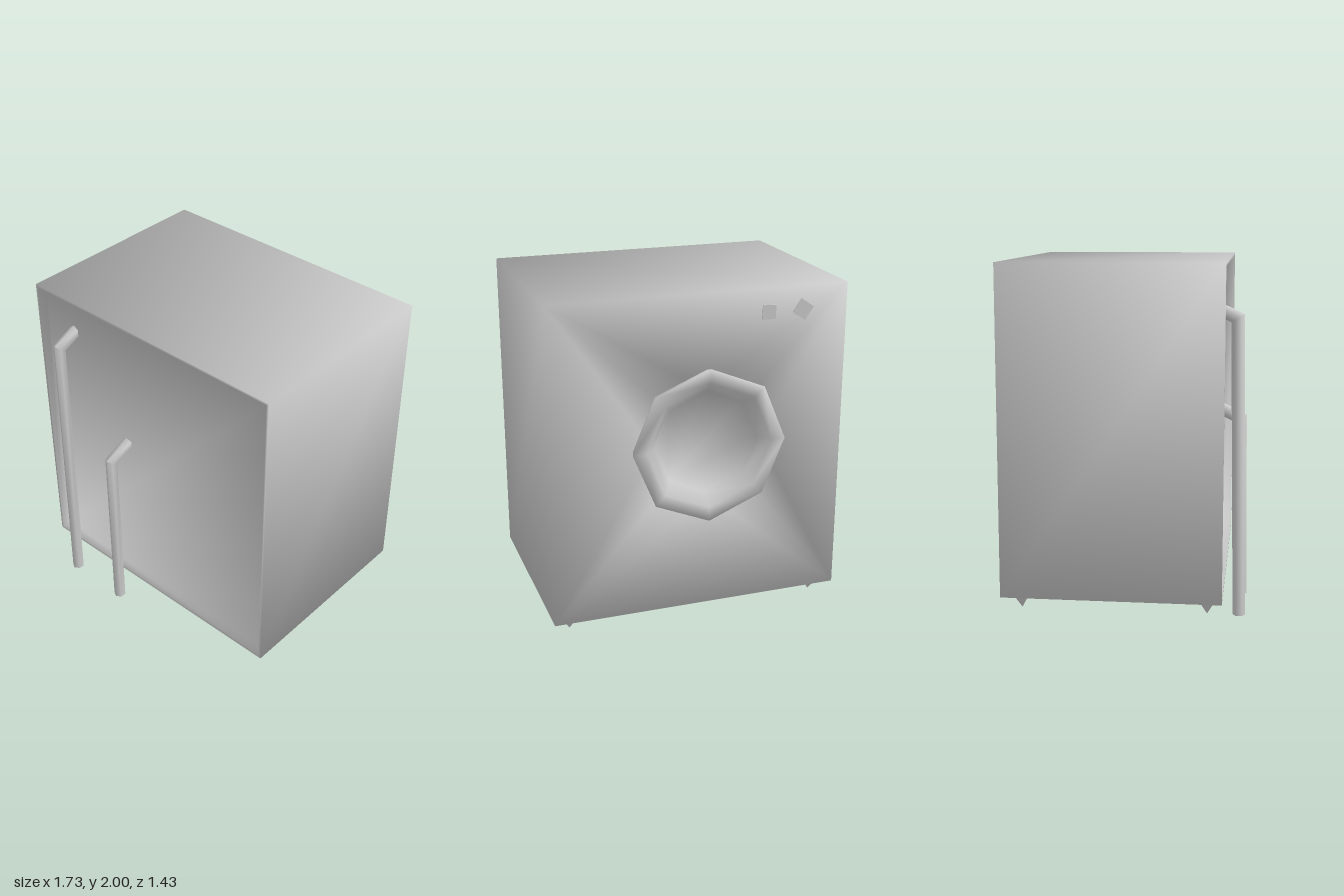
import * as THREE from 'three';
import { toCreasedNormals } from 'three/addons/utils/BufferGeometryUtils.js';

const material = new THREE.MeshStandardMaterial({ color: 0xcccccc });
const W = 0.867, H = 0.932, MID_Y = 1.063, BACK = -0.65, PANEL = 0.53, FRONT = 0.59;
const RING_X = -0.037, RING_Y = 1.133;

function part(name, geometry, x = 0, y = 0, z = 0) {
  const mesh = new THREE.Mesh(geometry, material);
  mesh.name = name;
  mesh.position.set(x, y, z);
  return mesh;
}

// One softly shaded skin: round recess, back, sides, front rim and sunken panel
function bodyGeometry() {
  const positions = [], normals = [], index = [];
  const add = (p, n) => {
    positions.push(...p);
    normals.push(...new THREE.Vector3(...n).normalize().toArray());
    return positions.length / 3 - 1;
  };
  // Loops run counter-clockwise seen from the front; tilt > 0 leans normals outward
  const octagon = (r, z, tilt) => Array.from({ length: 8 }, (_, k) => {
    const c = Math.cos(k * Math.PI / 4), s = Math.sin(k * Math.PI / 4);
    return add([RING_X + r * c, RING_Y + r * s, z], [tilt * c, tilt * s, -1]);
  });
  const rectangle = (inset, z, tilt, nz) => [[1, 1], [-1, 1], [-1, -1], [1, -1]].map(([sx, sy]) =>
    add([sx * (W - inset), MID_Y + sy * (H - inset), z], [tilt * sx, tilt * sy, nz]));
  const bridge = (a, b) => a.forEach((_, i) => {
    const j = (i + 1) % a.length;
    index.push(a[i], a[j], b[i], a[j], b[j], b[i]);
  });
  const cap = (loop) => {
    for (let i = 1; i < loop.length - 1; i++) index.push(loop[0], loop[i], loop[i + 1]);
  };

  const floor = octagon(0.31, BACK + 0.04, -1.2);
  const hole = octagon(0.31, BACK, -0.9);
  const back = rectangle(0, BACK, 1, -0.85);
  const front = rectangle(0, FRONT, 1, 1);
  const rim = rectangle(0.016, FRONT, -0.4, 1);
  const panel = rectangle(0.016, PANEL, -1, 1);

  cap([...floor].reverse());
  bridge(floor, hole);
  // Back wall: every corner fans out to its quarter of the round hole
  back.forEach((corner, c) => {
    const [a, b, d] = [0, 1, 2].map((k) => hole[(2 * c + k) % 8]);
    index.push(a, b, corner, b, d, corner, d, back[(c + 1) % 4], corner);
  });
  bridge(back, front);
  bridge(front, rim);
  bridge(rim, panel);
  cap(panel);

  const geometry = new THREE.BufferGeometry();
  geometry.setAttribute('position', new THREE.Float32BufferAttribute(positions, 3));
  geometry.setAttribute('normal', new THREE.Float32BufferAttribute(normals, 3));
  geometry.setIndex(index);
  return geometry;
}

// Six-sided pipe through bottom, elbow and end points, mitred at the elbow
function pipe(name, bottom, elbow, end) {
  const geometry = new THREE.CylinderGeometry(0.036, 0.036, 1, 6, 2);
  const dir = new THREE.Vector2(end[2] - elbow[2], end[1] - elbow[1]).normalize();
  const pos = geometry.attributes.position;
  for (let i = 0; i < pos.count; i++) {
    const x = pos.getX(i), z = pos.getZ(i), row = Math.round(pos.getY(i) * 2);
    const p = row < 0 ? bottom : row === 0 ? elbow : end;
    // Tilt each ring: level at the bottom, mitred at the elbow, square at the end
    const dy = row < 0 ? 0 : row === 0 ? -z * dir.x / (1 + dir.y) : -z * dir.x;
    const dz = row > 0 ? z * dir.y : z;
    pos.setXYZ(i, p[0] + x, p[1] + dy, p[2] + dz);
  }
  return part(name, toCreasedNormals(geometry, 1.35));
}

export function createModel() {
  const model = new THREE.Group();
  model.name = 'boxWithPipes';
  model.add(part('body', bodyGeometry()));

  // Bent pipes leaving the front panel and running to the ground
  model.add(pipe('tallPipe', [-0.625, 0, 0.68], [-0.638, 1.69, 0.65], [-0.635, 1.755, 0.51]));
  model.add(pipe('shortPipe', [-0.235, 0, 0.68], [-0.245, 1.07, 0.665], [-0.24, 1.14, 0.52]));

  // Eight-sided raised ring around the recess
  const profile = [[0.43, -0.01], [0.452, 0.06], [0.37, 0.058], [0.305, -0.01]]
    .map(([r, h]) => new THREE.Vector2(r, h));
  const ring = part('backRing', new THREE.LatheGeometry(profile, 8), RING_X, RING_Y, BACK);
  ring.rotation.x = -Math.PI / 2;
  model.add(ring);

  // Two small square tabs, almost flush with the back
  for (const [x, turn, size] of [[-0.395, 0.05, 0.08], [-0.6, 0.6, 0.09]]) {
    const tab = part('backTab', new THREE.BoxGeometry(size, size, 0.01), x, 1.86, BACK);
    tab.rotation.z = turn;
    model.add(tab);
  }

  // Pointed four-sided feet
  const foot = new THREE.ConeGeometry(0.056, 0.075, 4).toNonIndexed();
  foot.rotateY(Math.PI / 4).rotateX(Math.PI);
  foot.computeVertexNormals();
  for (const x of [-0.76, 0.76])
    for (const z of [0.505, -0.545]) model.add(part('foot', foot, x, 0.083, z));

  return model;
}
